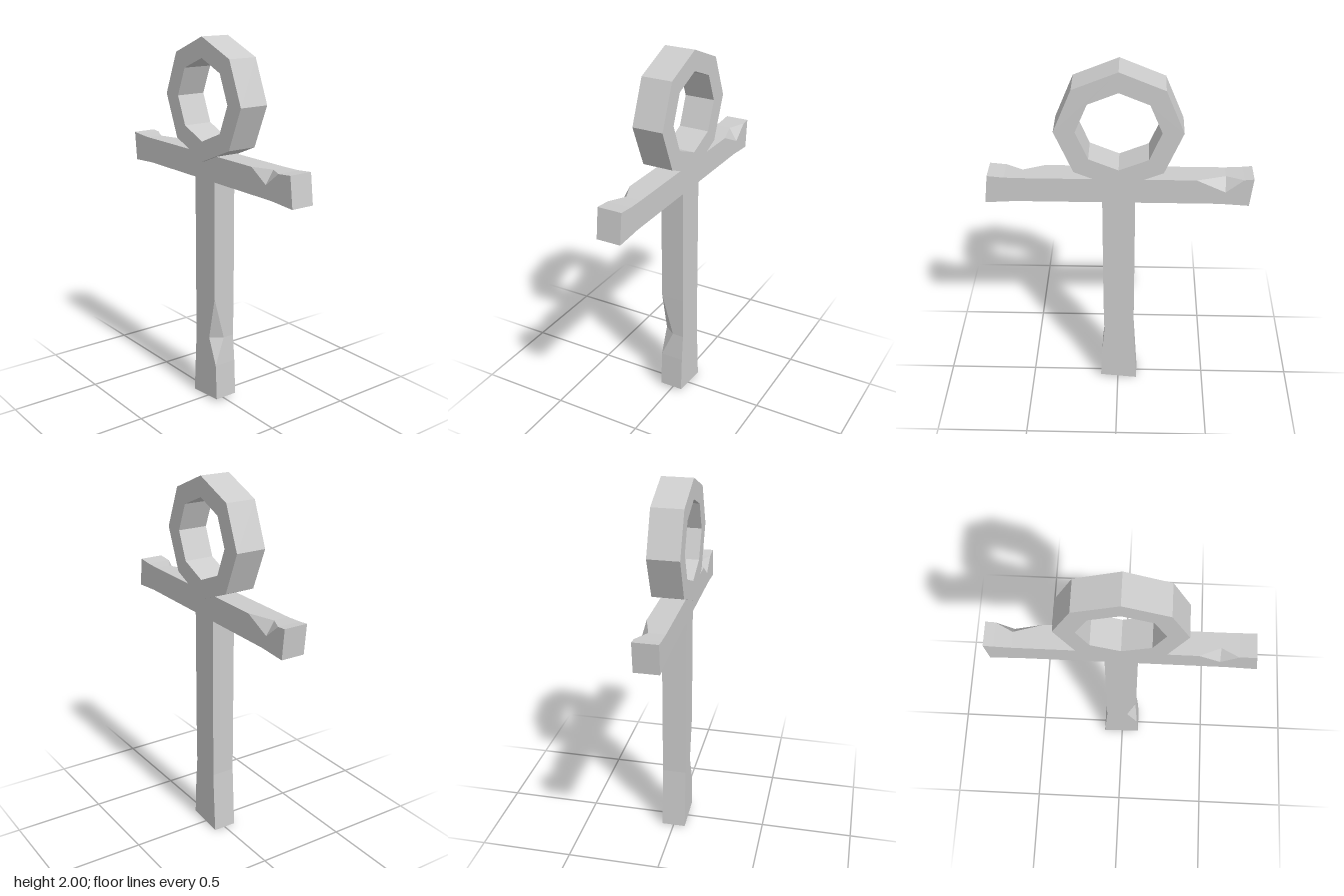
import * as THREE from 'three';

const HALF = 0.065; // half thickness of the cross

// Outline, counter-clockwise from the front. A chipped corner also gives the
// chip's point on the broad face, its depth on the edge wall and its side.
const outline = [
  { at: [-0.11, 0] }, { at: [0.10, 0.02] },
  { at: [0.09, 0.22] },
  { at: [0.077, 0.37], chip: [0.03, 0.37], z: 0, side: 1 },
  { at: [0.08, 0.61] }, { at: [0.08, 1.26] },
  { at: [0.53, 1.26] }, { at: [0.685, 1.25] }, { at: [0.665, 1.41] },
  { at: [0.58, 1.402] },
  { at: [0.49, 1.40], chip: [0.49, 1.33], z: 0.018, side: 1 },
  { at: [0.38, 1.40] }, { at: [-0.40, 1.40] },
  { at: [-0.55, 1.40], chip: [-0.55, 1.33], z: -0.02, side: -1 },
  { at: [-0.64, 1.405] }, { at: [-0.69, 1.41] },
  { at: [-0.675, 1.25] }, { at: [-0.52, 1.26] },
  { at: [-0.09, 1.26] }, { at: [-0.09, 0.35] },
];

function crossGeometry() {
  const face = (side) => outline.map((p) => [...(p.side === side ? p.chip : p.at), side * HALF]);
  const front = face(1), back = face(-1);
  const middle = outline.map((p) => [...p.at, p.z ?? 0]);
  const positions = [];
  const tri = (a, b, c) => positions.push(...a, ...b, ...c);

  // Broad faces
  for (const [loop, flip] of [[front, false], [back, true]]) {
    const flat = loop.map(([x, y]) => new THREE.Vector2(x, y));
    for (const [a, b, c] of THREE.ShapeUtils.triangulateShape(flat, [])) {
      if (flip) tri(loop[a], loop[c], loop[b]);
      else tri(loop[a], loop[b], loop[c]);
    }
  }

  // Edge walls in two strips, with the diagonals turned to follow the chips
  for (const [upper, lower, side] of [[front, middle, 1], [middle, back, -1]]) {
    outline.forEach((p, i) => {
      const j = (i + 1) % outline.length;
      const chipNext = outline[j].side === side;
      if (chipNext === (side === 1)) {
        tri(upper[i], lower[i], lower[j]);
        tri(upper[i], lower[j], upper[j]);
      } else {
        tri(upper[i], lower[i], upper[j]);
        tri(lower[i], lower[j], upper[j]);
      }
    });
  }

  const geometry = new THREE.BufferGeometry();
  geometry.setAttribute('position', new THREE.Float32BufferAttribute(positions, 3));
  geometry.computeVertexNormals();
  return geometry;
}

// Eight-sided ring with a corner at the top
function ringGeometry(outer, inner, depth) {
  const octagon = (r) => Array.from({ length: 8 }, (_, i) => {
    const a = (i * Math.PI) / 4;
    return new THREE.Vector2(Math.cos(a) * r, Math.sin(a) * r);
  });
  const shape = new THREE.Shape(octagon(outer));
  shape.holes.push(new THREE.Path(octagon(inner)));
  return new THREE.ExtrudeGeometry(shape, { depth, bevelEnabled: false }).translate(0, 0, -depth / 2);
}

export function createModel() {
  const group = new THREE.Group();
  group.name = 'loopedCross';
  const material = new THREE.MeshStandardMaterial({ color: 0xcccccc, flatShading: true });

  const cross = new THREE.Mesh(crossGeometry(), material);
  cross.name = 'chippedCross';

  const ring = new THREE.Mesh(ringGeometry(0.321, 0.214, 0.166), material);
  ring.name = 'ring';
  ring.position.set(-0.005, 1.679, 0);

  group.add(cross, ring);
  return group;
}
